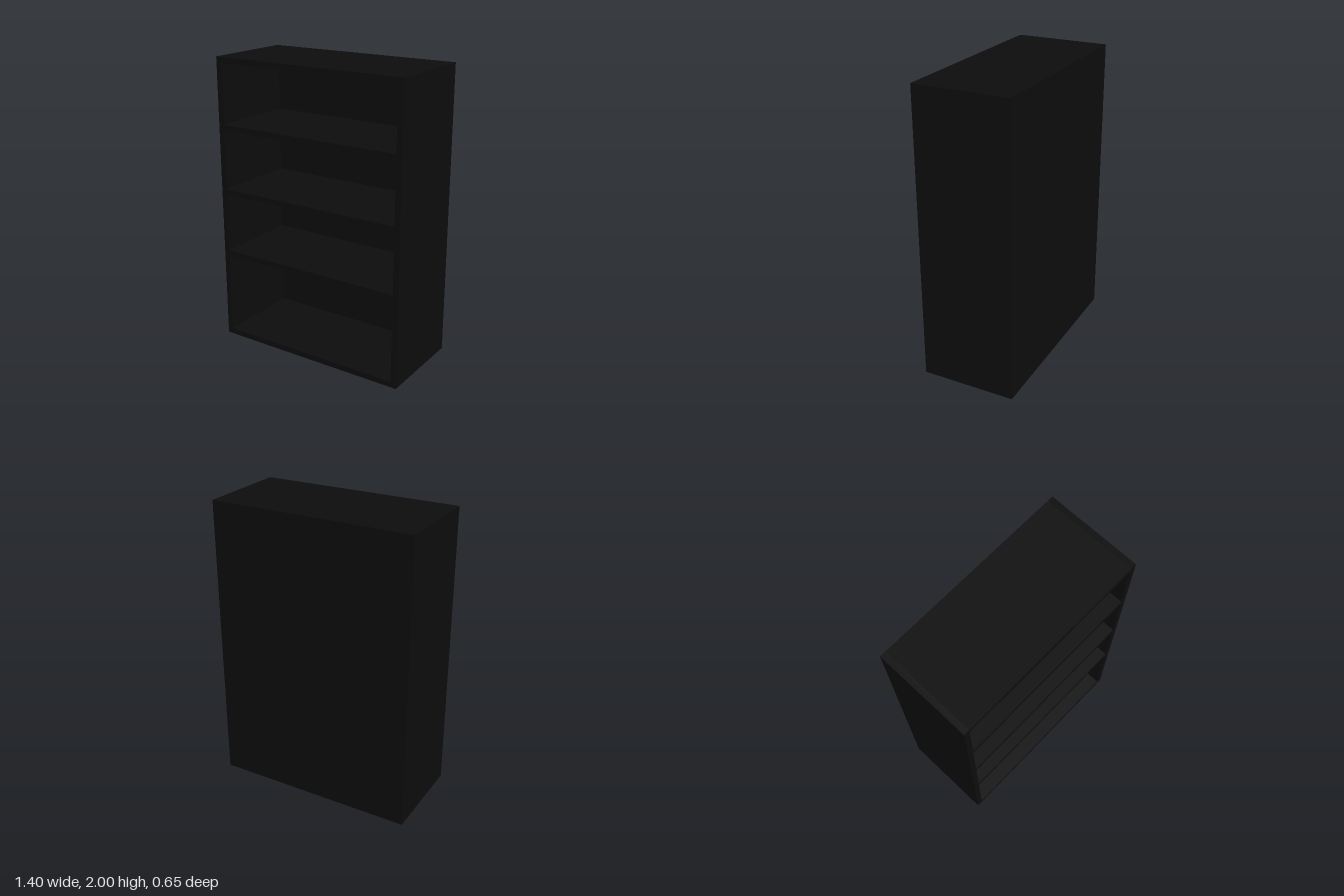
import * as THREE from 'three';

export function createModel() {
  const group = new THREE.Group();
  group.name = 'bookcase';
  const black = new THREE.MeshStandardMaterial({ color: 0x0d0d0d });
  black.name = 'black';

  const W = 1.4, H = 2, D = 0.65, T = 0.04;
  const innerW = W - 2 * T, innerD = D - T;

  const board = (name, w, h, d, x, y, z) => {
    const mesh = new THREE.Mesh(new THREE.BoxGeometry(w, h, d), black);
    mesh.name = name;
    mesh.position.set(x, y, z);
    group.add(mesh);
  };

  // Outer case
  board('leftSide', T, H, D, (W - T) / 2, H / 2, 0);
  board('rightSide', T, H, D, -(W - T) / 2, H / 2, 0);
  board('topBoard', innerW, T, D, 0, H - T / 2, 0);
  board('bottomBoard', innerW, T, D, 0, T / 2, 0);
  board('backPanel', innerW, H - 2 * T, T, 0, H / 2, -(D - T) / 2);

  // Shelves, given by the height of their upper face
  [0.65, 1.1, 1.55].forEach((top, i) =>
    board(`shelf${i + 1}`, innerW, T, innerD, 0, top - T / 2, T / 2));

  return group;
}
